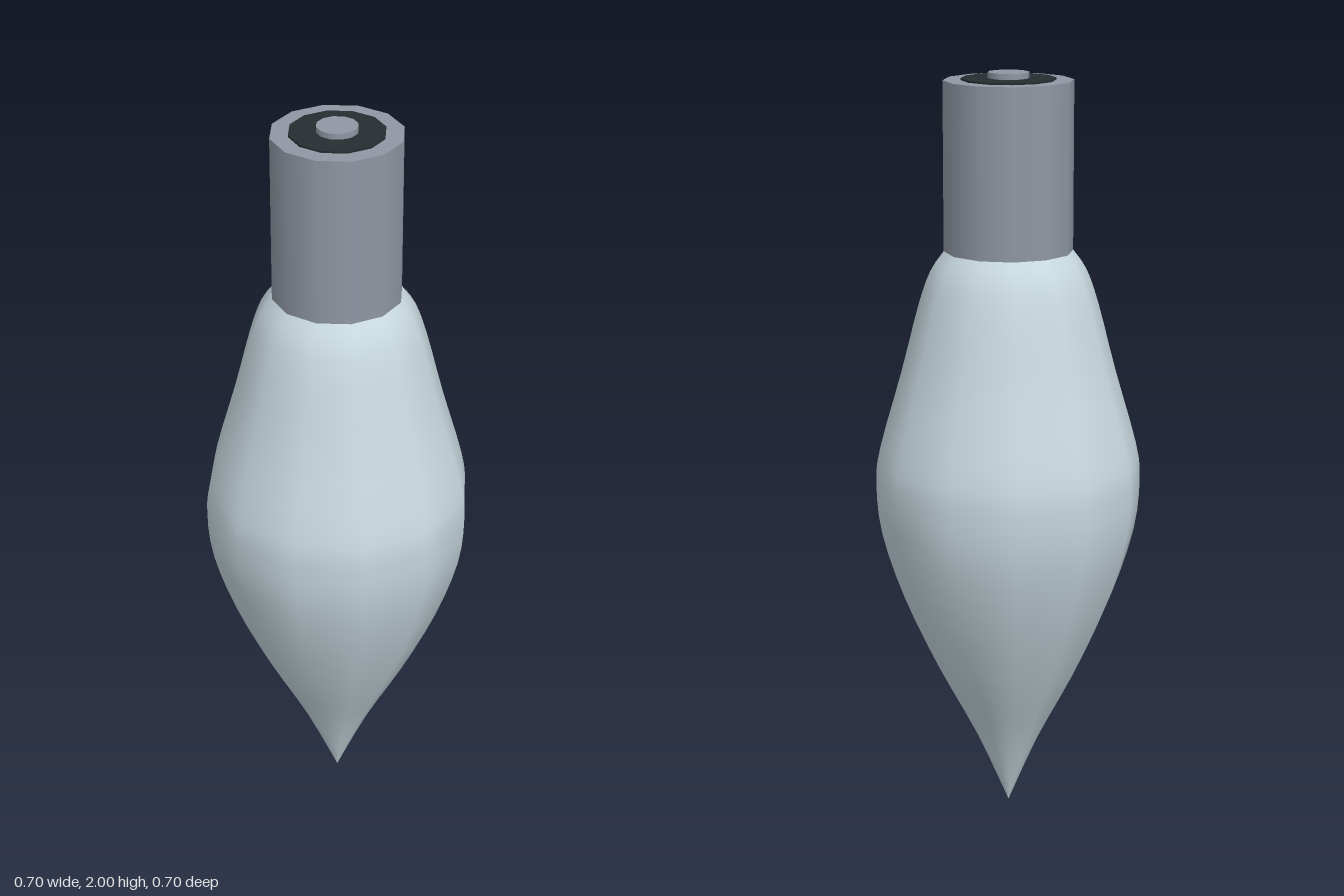
import * as THREE from 'three';

const SIDES = 12;

export function createModel() {
  const group = new THREE.Group();
  const metal = new THREE.MeshStandardMaterial({ color: 0x9098a4 });
  const glass = new THREE.MeshStandardMaterial({ color: 0xc8d9e0 });
  const dark = new THREE.MeshStandardMaterial({ color: 0x262d30 });

  const add = (name, geometry, material, y = 0) => {
    const mesh = new THREE.Mesh(geometry, material);
    mesh.name = name;
    mesh.position.y = y;
    group.add(mesh);
  };
  const disc = (name, radius, bottom, top, material) =>
    add(name, new THREE.CylinderGeometry(radius, radius, top - bottom, SIDES), material, (bottom + top) / 2);

  // Flame-shaped glass bulb, pointing down
  const profile = new THREE.SplineCurve([
    [0, 0.005], [0.085, 0.2], [0.19, 0.4], [0.28, 0.6], [0.337, 0.78], [0.351, 0.92],
    [0.339, 1.02], [0.282, 1.22], [0.235, 1.4], [0.203, 1.49], [0.165, 1.545],
  ].map(([r, y]) => new THREE.Vector2(r, y)));
  const points = profile.getPoints(30);
  points[0].x = 0;
  add('bulb', new THREE.LatheGeometry(points, SIDES), glass);

  // Metal socket, insulating ring and contact on top
  disc('socket', 0.168, 1.54, 1.98, metal);
  disc('insulator', 0.122, 1.97, 1.985, dark);
  disc('contact', 0.053, 1.975, 2, metal);

  return group;
}
